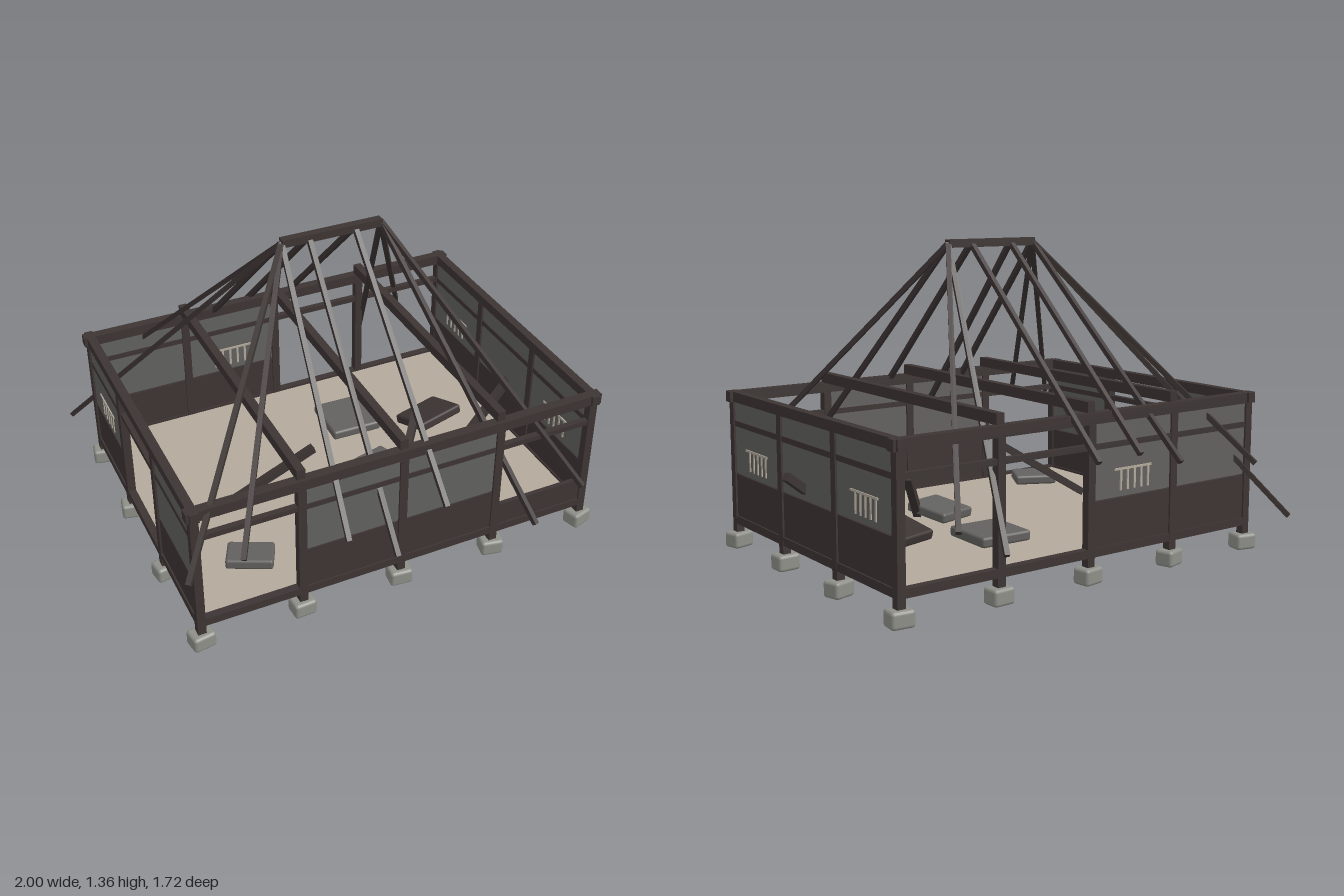
import * as THREE from 'three';
import { RoundedBoxGeometry } from 'three/addons/geometries/RoundedBoxGeometry.js';

const mat = (name, color) => Object.assign(new THREE.MeshStandardMaterial({ color }), { name });
const timber = mat('darkTimber', 0x3d3534);
const plaster = mat('greyPlaster', 0x62615f);
const earth = mat('paleFloor', 0xb3a99b);
const stone = mat('footingStone', 0x8f8f89);

const XS = [-0.9, -0.457, -0.01, 0.436, 0.886];
const ZS = [0.668, 0.225, -0.225, -0.668];
const MID = -0.007;

export function createModel() {
  const model = new THREE.Group();
  model.name = 'ruinedTimberHouse';

  const group = (name, parent = model) => {
    const g = new THREE.Group();
    g.name = name;
    parent.add(g);
    return g;
  };
  const add = (parent, name, geometry, material, x, y, z) => {
    const m = new THREE.Mesh(geometry, material);
    m.name = name;
    m.position.set(x, y, z);
    parent.add(m);
    return m;
  };
  const box = (parent, name, material, w, h, d, x, y, z) =>
    add(parent, name, new THREE.BoxGeometry(w, h, d), material, x, y, z);
  // square timber running between two points
  const beam = (parent, name, a, b, t) => {
    const p = new THREE.Vector3(...a), q = new THREE.Vector3(...b);
    const m = box(parent, name, timber, t, t, p.distanceTo(q), 0, 0, 0);
    m.position.copy(p).add(q).multiplyScalar(0.5);
    m.lookAt(q);
    return m;
  };

  // floor
  box(model, 'floor', earth, 1.79, 0.02, 1.34, MID, 0.125, 0);

  // posts on footing stones
  const frame = group('frame');
  const footings = group('footings');
  let n = 0;
  const post = (x, z) => {
    box(frame, 'post', timber, 0.036, 0.6, 0.036, x, 0.36, z);
    const s = add(footings, 'footingStone', new RoundedBoxGeometry(0.1, 0.07, 0.082, 2, 0.014), stone, x, 0.036, z);
    s.rotation.y = [0.15, -0.2, 0.05, 0.28, -0.1][n++ % 5];
  };
  for (const x of XS) for (const z of [ZS[0], ZS[3]]) post(x, z);
  for (const x of [XS[0], XS[4]]) for (const z of [ZS[1], ZS[2]]) post(x, z);

  // sills, middle rails and wall plates round all four sides
  for (const z of [ZS[0], ZS[3]]) {
    box(frame, 'sill', timber, 1.8, 0.036, 0.034, MID, 0.127, z);
    box(frame, 'rail', timber, 1.79, 0.024, 0.026, MID, 0.56, z);
    box(frame, 'wallPlate', timber, 1.85, 0.046, 0.042, MID, 0.677, z);
  }
  for (const x of [XS[0], XS[4]]) {
    box(frame, 'sill', timber, 0.034, 0.036, 1.35, x, 0.127, 0);
    box(frame, 'rail', timber, 0.026, 0.024, 1.34, x, 0.56, 0);
    box(frame, 'wallPlate', timber, 0.038, 0.044, 1.4, x, 0.678, 0);
  }
  for (const x of XS.slice(1, 4)) box(frame, 'tieBeam', timber, 0.036, 0.045, 1.35, x, 0.722, 0);

  // wall panels: dark boards below, plaster above, narrow gap between
  const walls = group('walls');
  const bay = (name, x, z, length, turn, lattice) => {
    const g = group(name, walls);
    g.position.set(x, 0, z);
    g.rotation.y = turn;
    box(g, 'lowerBoards', timber, length, 0.197, 0.02, 0, 0.236, 0);
    box(g, 'upperPlaster', plaster, length, 0.317, 0.018, 0, 0.4985, 0);
    if (!lattice) return;
    box(g, 'latticeRail', earth, 0.2, 0.009, 0.028, 0, 0.455, 0);
    for (let i = 0; i < 5; i++)
      box(g, 'latticeBar', earth, 0.01, 0.092, 0.026, -0.065 + i * 0.037, 0.412, 0);
  };
  const mx = i => (XS[i] + XS[i + 1]) / 2;
  bay('frontWall', mx(1), ZS[0], 0.43, 0, false);
  bay('frontWall', mx(2), ZS[0], 0.43, 0, false);
  bay('backWall', mx(0), ZS[3], 0.43, Math.PI, false);
  bay('backWall', mx(1), ZS[3], 0.43, Math.PI, true);
  for (const z of [0.447, 0, -0.447]) bay('leftWall', XS[4], z, 0.43, Math.PI / 2, z !== 0);
  bay('rightWall', XS[0], 0.447, 0.43, -Math.PI / 2, false);
  bay('rightWall', XS[0], -0.447, 0.43, -Math.PI / 2, true);
  box(walls, 'brokenLowWall', timber, 0.43, 0.11, 0.02, mx(3), 0.195, ZS[0]);

  // ridge and rafters: [ridge x, eave x, front eave y, back eave y]
  const roof = group('roof');
  box(roof, 'ridgeBeam', timber, 0.45, 0.034, 0.036, -0.013, 1.345, 0);
  const rafters = [
    [-0.235, -0.99, 0.51, 0.17], [-0.235, -0.77, 0.55, 0.43], [-0.235, -0.335, 0.48, 0.49],
    [-0.115, -0.117, 0.32, 0.55], [0.092, 0.096, 0.5, 0.54],
    [0.21, 0.535, 0.25, 0.25], [0.21, 0.75, 0.38, 0.37],
  ];
  for (const [rx, ex, front, back] of rafters) {
    beam(roof, 'rafter', [rx, 1.345, 0], [ex, front, 0.85], 0.021);
    beam(roof, 'rafter', [rx, 1.345, 0], [ex, back, -0.85], 0.021);
  }

  // fallen timbers
  const debris = group('debris');
  beam(debris, 'fallenTimber', [-0.615, 0.15, 0.095], [-0.185, 0.42, 0.18], 0.032);
  beam(debris, 'fallenTimber', [0.25, 0.15, 0.19], [0.39, 0.36, 0.05], 0.034);
  beam(debris, 'fallenTimber', [0.59, 0.15, 0.12], [0.985, 0.45, 0.004], 0.034);

  // fallen slabs: [x, z, width, depth, turn, tilt, material]
  const slabs = [
    [0.2, -0.285, 0.24, 0.25, -0.03, 0, plaster],
    [0.55, -0.115, 0.25, 0.19, 0.27, -0.25, timber],
    [0.17, 0.135, 0.19, 0.22, 0.25, -0.12, plaster],
    [0.555, 0.32, 0.17, 0.2, 0.47, -0.2, plaster],
    [-0.59, 0.435, 0.2, 0.14, -0.45, -0.08, plaster],
  ];
  for (const [x, z, w, d, turn, tilt, m] of slabs) {
    const y = 0.16 + Math.abs(Math.sin(tilt)) * d / 2;
    const s = add(debris, 'fallenSlab', new RoundedBoxGeometry(w, 0.045, d, 2, 0.012), m, x, y, z);
    s.rotation.set(tilt, turn, 0, 'YXZ');
  }

  return model;
}
